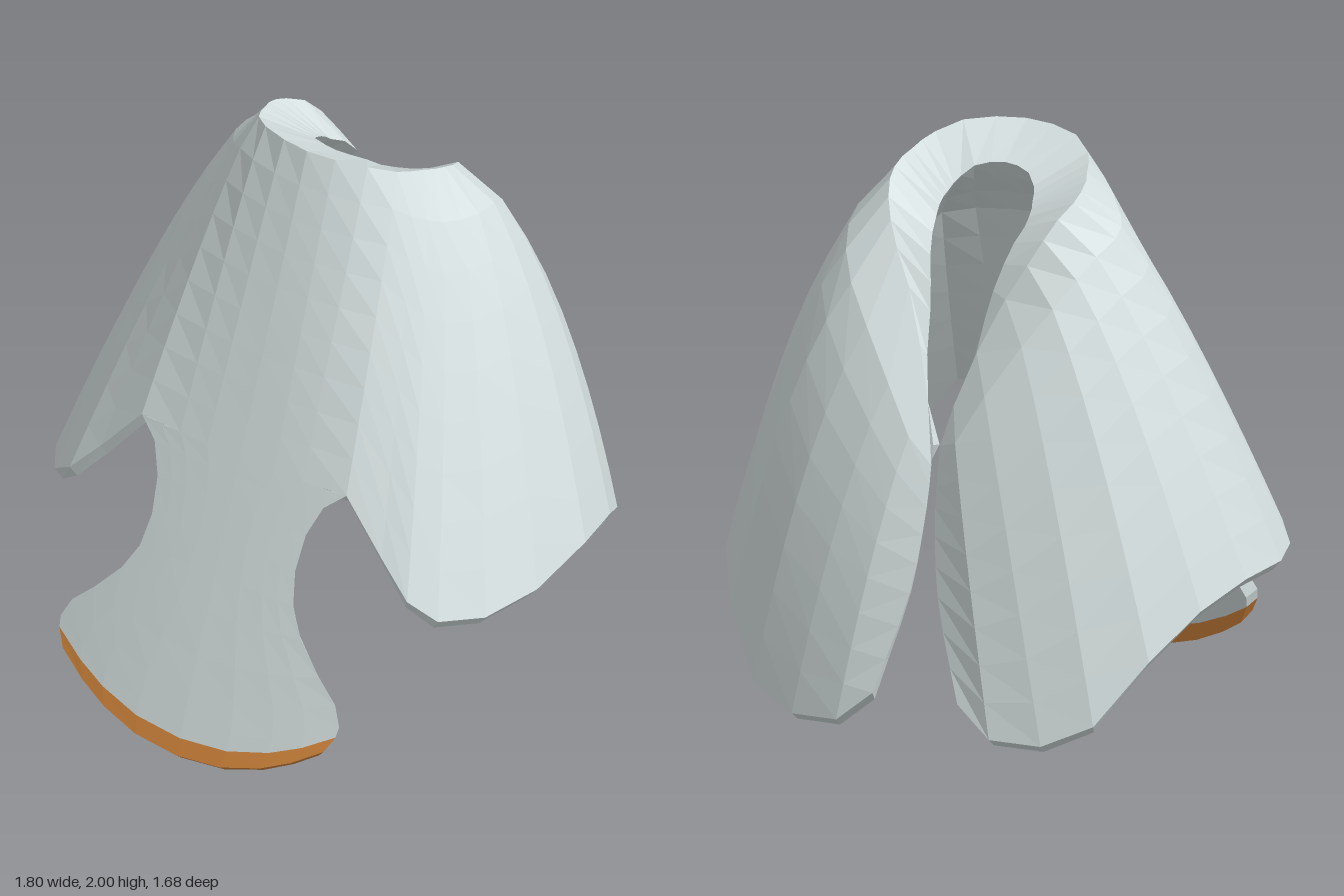
import * as THREE from 'three';

const V = (x, y, z) => new THREE.Vector3(x, y, z);
const THICK = 0.04;

// Closed sheet: outer grid (rows go down, columns go towards +x in front), inner grid and edge walls.
// hem slides the inner bottom edge outwards, side slides the inner side edges; both bevel the rim.
function sheet(outer, { hem = 0, side = 0, shapeInner = q => q } = {}) {
  const R = outer.length, C = outer[0].length, pos = [], idx = [];
  const cl = (v, n) => Math.min(Math.max(v, 0), n - 1);
  const inner = outer.map((row, r) => row.map((p, c) => {
    const dr = outer[cl(r + 1, R)][c].clone().sub(outer[cl(r - 1, R)][c]).normalize();
    const dc = row[cl(c + 1, C)].clone().sub(row[cl(c - 1, C)]).normalize();
    const q = p.clone().addScaledVector(dr.clone().cross(dc).normalize(), -THICK);
    if (r === R - 1) q.addScaledVector(dr, hem);
    if (c === 0) q.addScaledVector(dc, -side);
    if (c === C - 1) q.addScaledVector(dc, side);
    return shapeInner(q, p, r, c);
  }));
  for (const g of [outer, inner]) for (const row of g) for (const p of row) pos.push(p.x, p.y, p.z);
  const id = (r, c) => r * C + c, off = R * C;
  const quad = (a, b, c, d) => idx.push(a, b, c, a, c, d);
  for (let r = 0; r < R - 1; r++) for (let c = 0; c < C - 1; c++) {
    const a = id(r, c), b = id(r + 1, c), d = id(r + 1, c + 1), e = id(r, c + 1);
    quad(a, b, d, e);
    quad(off + e, off + d, off + b, off + a);
  }
  const loop = [];
  for (let r = 0; r < R - 1; r++) loop.push(id(r, 0));
  for (let c = 0; c < C - 1; c++) loop.push(id(R - 1, c));
  for (let r = R - 1; r > 0; r--) loop.push(id(r, C - 1));
  for (let c = C - 1; c > 0; c--) loop.push(id(0, c));
  loop.forEach((p, i) => {
    const q = loop[(i + 1) % loop.length];
    quad(q, p, off + p, off + q);
  });
  const geo = new THREE.BufferGeometry();
  geo.setAttribute('position', new THREE.Float32BufferAttribute(pos, 3));
  geo.setIndex(idx);
  geo.computeVertexNormals();
  return geo;
}

// Depth of the sloping front face
const frontZ = (x, y) => 0.08 + (2 - y) * 0.384 - 0.14 * x * x;

// One half of the cape, front to back: top point, hem point, outward bulge
const columns = [
  [[0, 2, 0.08], [0, 1, frontZ(0, 1)], 0],
  [[0.1, 1.997, 0.065], [0.13, 1, frontZ(0.13, 1)], 0.005],
  [[0.2, 1.985, 0.025], [0.24, 1, frontZ(0.24, 1)], 0.015],
  [[0.27, 1.955, -0.04], [0.4, 1, frontZ(0.4, 1)], 0.025],
  [[0.295, 1.938, -0.09], [0.55, 0.82, 0.46], 0.035],
  [[0.31, 1.92, -0.14], [0.66, 0.7, 0.475], 0.045],
  [[0.325, 1.905, -0.18], [0.75, 0.63, 0.43], 0.055],
  [[0.33, 1.885, -0.23], [0.84, 0.6, 0.29], 0.075],
  [[0.325, 1.86, -0.28], [0.9, 0.61, 0.08], 0.09],
  [[0.3, 1.82, -0.35], [0.9, 0.63, -0.2], 0.1],
  [[0.27, 1.76, -0.4], [0.84, 0.58, -0.43], 0.115],
  [[0.23, 1.68, -0.44], [0.74, 0.45, -0.62], 0.125],
  [[0.17, 1.57, -0.48], [0.6, 0.25, -0.75], 0.125],
  [[0.1, 1.4, -0.55], [0.44, 0.18, -0.81], 0.1],
  [[0.045, 1.23, -0.61], [0.27, 0.19, -0.84], 0.065],
];
const ROWS = 9;

function columnPoints([t, b, bulge]) {
  const top = V(...t), hem = V(...b);
  const mid = top.clone().lerp(hem, 0.5);
  const out = V(mid.x, 0.2, mid.z + 0.1).normalize();
  return Array.from({ length: ROWS + 1 }, (_, r) => {
    const v = r / ROWS, w = v ** 0.6;
    return top.clone().lerp(hem, v).addScaledVector(out, bulge * 4 * w * (1 - w));
  });
}

function capeGeometry() {
  const half = columns.map(columnPoints);
  // Free back edge, curling in towards the centre seam
  half.push(new THREE.CatmullRomCurve3([
    V(0.012, 1.1, -0.645), V(0.015, 0.9, -0.69), V(0.05, 0.62, -0.75), V(0.15, 0.29, -0.82),
  ]).getPoints(ROWS));
  const mirrored = half.slice(1).reverse().map(col => col.map(p => V(-p.x, p.y, p.z)));
  const all = [...mirrored, ...half];
  const grid = Array.from({ length: ROWS + 1 }, (_, r) => all.map(col => col[r]));
  // The inside thickens into a sloping collar round the neck opening
  const shapeInner = (q, p, r, c) => {
    const back = THREE.MathUtils.clamp((grid[0][c].z + 0.65) / 0.2, 0, 1);
    const k = back * Math.max(0, 1 - r / ROWS / 0.3);
    const z = p.z > -0.3 ? -0.3 + (p.z + 0.3) * 0.55 : p.z;
    q.lerp(V(p.x * 0.48, p.y - 0.1 * back, z), k);
    if (c < 4) q.x = Math.min(q.x, -0.006);
    if (c > all.length - 5) q.x = Math.max(q.x, 0.006);
    return q;
  };
  return sheet(grid, { hem: 0.025, shapeInner });
}

// Front tongue rows: half width, edge height, centre height
const tongueRows = [
  [0.4, 1, 1], [0.33, 0.94, 0.94], [0.29, 0.84, 0.85], [0.28, 0.72, 0.74],
  [0.3, 0.61, 0.62], [0.35, 0.52, 0.5], [0.44, 0.42, 0.36], [0.515, 0.35, 0.24],
  [0.545, 0.285, 0.14], [0.54, 0.25, 0.088],
];
const tipRows = [[0.54, 0.25, 0.088], [0.51, 0.195, 0.032]];
const across = [-1, -0.8, -0.6, -0.325, 0, 0.325, 0.6, 0.8, 1];

const tongueGrid = rows => rows.map(([w, edge, centre]) => across.map(f => {
  const x = f * w, y = centre + (edge - centre) * Math.abs(f) ** 2.2;
  return V(x, y, frontZ(x, y));
}));

export function createModel() {
  const shell = new THREE.MeshStandardMaterial({ color: 0xd8e2e2 });
  const orange = new THREE.MeshStandardMaterial({ color: 0xd98a3e });
  shell.name = 'paleGrey';
  orange.name = 'orange';
  shell.flatShading = orange.flatShading = true;

  const model = new THREE.Group();
  model.name = 'cape';
  const add = (name, geo, mat) => {
    const mesh = new THREE.Mesh(geo, mat);
    mesh.name = name;
    model.add(mesh);
  };
  add('capeBody', capeGeometry(), shell);
  add('frontTongue', sheet(tongueGrid(tongueRows), { side: -0.025 }), shell);
  add('tongueTip', sheet(tongueGrid(tipRows), { hem: 0.015, side: -0.025 }), orange);
  return model;
}
